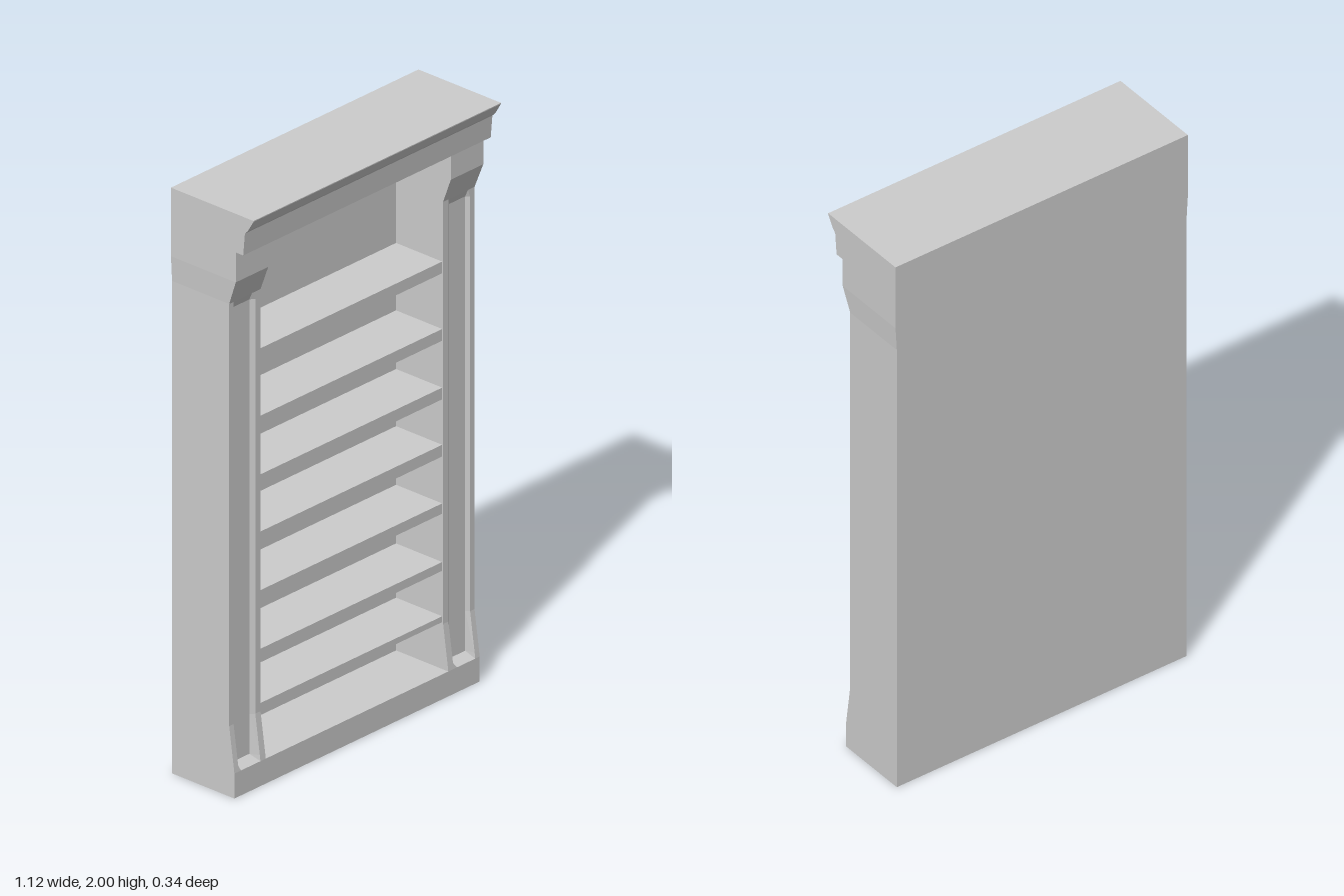
import * as THREE from 'three';

const material = new THREE.MeshStandardMaterial({ color: 0xcccccc, flatShading: true, side: THREE.DoubleSide });

const BACK = -0.172, INNER_BACK = -0.13;   // outer and inner back planes
const OUT = 0.555, TOP_OUT = 0.56, IN = 0.413; // half widths
const FLOOR = 0.085, CEILING = 1.868;
const GROOVE = 0.055;                      // z of the recessed pilaster panel

function add(group, name, geometry, x = 0, y = 0, z = 0) {
  const mesh = new THREE.Mesh(geometry, material);
  mesh.name = name;
  mesh.position.set(x, y, z);
  group.add(mesh);
  return mesh;
}

// Faceted skin through a list of open cross-sections with equal point counts
function loft(sections) {
  const pos = [];
  for (let i = 0; i < sections.length - 1; i++) {
    const lo = sections[i], hi = sections[i + 1];
    for (let j = 0; j < lo.length - 1; j++) {
      pos.push(...lo[j], ...hi[j + 1], ...lo[j + 1], ...lo[j], ...hi[j], ...hi[j + 1]);
    }
  }
  const g = new THREE.BufferGeometry();
  g.setAttribute('position', new THREE.Float32BufferAttribute(pos, 3));
  g.computeVertexNormals();
  return g;
}

// Hollow post: inner wall, grooved front and outer side; s mirrors it in x
function postGeometry(s) {
  // y, front z, panel z, outer x
  const rows = [
    [FLOOR, 0.0875, 0.0875, OUT],
    [0.105, 0.085, GROOVE, OUT],
    [0.24, 0.066, GROOVE, OUT],
    [1.655, 0.066, GROOVE, OUT],
    [1.68, 0.066, 0.066, OUT],
    [1.766, 0.098, 0.098, TOP_OUT],
    [CEILING, 0.098, 0.098, TOP_OUT],
  ];
  return loft(rows.map(([y, f, p, out]) => {
    const section = [
      [IN, INNER_BACK], [IN, f], [0.437, f], [0.452, p],
      [0.525, p], [0.535, f], [out, f], [out, BACK],
    ];
    if (s > 0) section.reverse();
    return section.map(([x, z]) => [s * x, y, z]);
  }));
}

export function createModel() {
  const model = new THREE.Group();
  model.name = 'bookcase';

  // Posts with capitals
  add(model, 'leftPost', postGeometry(1));
  add(model, 'rightPost', postGeometry(-1));

  // Plinth, open underneath
  const plinth = y => [[OUT, y, BACK], [OUT, y, 0.0875], [-OUT, y, 0.0875], [-OUT, y, BACK]];
  add(model, 'plinth', loft([plinth(0), plinth(FLOOR)]));
  const floor = z => [[IN, FLOOR, z], [-IN, FLOOR, z]];
  add(model, 'bottomShelf', loft([floor(0.0875), floor(INNER_BACK)]));

  // Back: outer sheet and the inner wall behind the shelves
  const backRow = (x, y, z) => [[-x, y, z], [x, y, z]];
  add(model, 'backPanel', loft([
    backRow(OUT, 0, BACK), backRow(OUT, 1.68, BACK),
    backRow(TOP_OUT, 1.766, BACK), backRow(TOP_OUT, CEILING, BACK),
  ]));
  add(model, 'innerBack', loft([
    backRow(IN, FLOOR, INNER_BACK).reverse(), backRow(IN, CEILING, INNER_BACK).reverse(),
  ]));

  // Shelves: bottom and top heights
  const shelves = [
    [0.245, 0.265], [0.42, 0.45], [0.615, 0.65], [0.81, 0.85],
    [1.005, 1.045], [1.205, 1.245], [1.435, 1.475],
  ];
  const front = 0.062;
  for (const [y0, y1] of shelves) {
    add(model, 'shelf', new THREE.BoxGeometry(2 * IN, y1 - y0, front - INNER_BACK),
      0, (y0 + y1) / 2, (front + INNER_BACK) / 2);
  }

  // Cornice: moulded profile run across the full width (shape x is -z)
  const profile = [
    [BACK, CEILING], [0.129, CEILING], [0.136, 1.945], [0.148, 1.957], [0.172, 1.997],
    [0.172, 2], [BACK, 2],
  ].map(([z, y]) => new THREE.Vector2(-z, y));
  const cornice = new THREE.ExtrudeGeometry(new THREE.Shape(profile), { depth: 2 * TOP_OUT, bevelEnabled: false });
  cornice.rotateY(Math.PI / 2);
  add(model, 'cornice', cornice, -TOP_OUT);

  return model;
}
